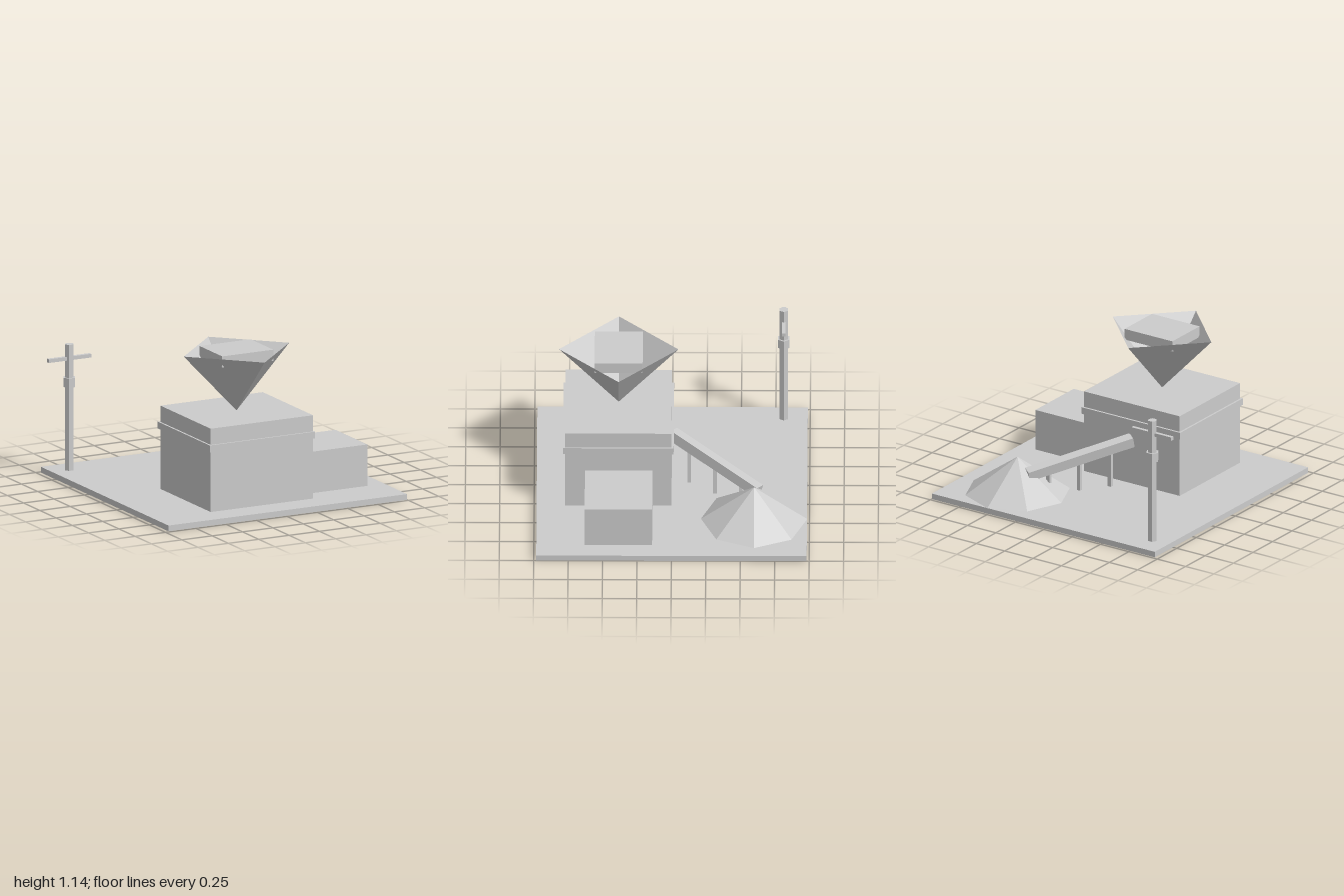
import * as THREE from 'three';

export function createModel() {
  const model = new THREE.Group();
  model.name = 'processingPlant';

  const grey = new THREE.MeshStandardMaterial({ color: 0xcccccc, side: THREE.DoubleSide, flatShading: true });
  grey.name = 'plain grey';

  function add(name, geometry, x, y, z, parent = model) {
    const mesh = new THREE.Mesh(geometry, grey);
    mesh.name = name;
    mesh.position.set(x, y, z);
    parent.add(mesh);
    return mesh;
  }
  // Box given by its extents on each axis
  function box(name, x0, x1, y0, y1, z0, z1, parent = model) {
    return add(name, new THREE.BoxGeometry(x1 - x0, y1 - y0, z1 - z0),
      (x0 + x1) / 2, (y0 + y1) / 2, (z0 + z1) / 2, parent);
  }

  // Ground slab: a shallow tray turned over, with its underside left open
  const ground = 0.043;
  const slab = box('groundSlab', -0.966, 0.999, 0, ground, -0.982, 0.982).geometry;
  const faces = Array.from(slab.index.array);
  faces.splice(18, 6);
  slab.setIndex(faces);
  slab.clearGroups();

  // Main building with a trim band, and the annex beside it
  box('mainBuilding', -0.508, 0.335, ground, 0.667, 0.002, 0.775);
  box('trimBand', -0.523, 0.345, 0.495, 0.546, -0.014, 0.789);
  box('annex', 0.345, 0.859, ground, 0.353, 0.14, 0.631);

  // Open hopper: inverted four-sided pyramid standing on its tip
  const hopper = new THREE.ConeGeometry(0.434, 0.455, 4, 1, true).rotateX(Math.PI);
  add('hopper', hopper, -0.088, 0.8945, 0.387);
  box('hopperLoad', -0.299, 0.122, 1.053, 1.136, 0.212, 0.562);

  // Heap of material
  add('heap', new THREE.ConeGeometry(0.386, 0.274, 8), 0.508, ground + 0.137, -0.598);

  // Sloping conveyor and its legs
  const conveyor = new THREE.Group();
  conveyor.name = 'conveyor';
  model.add(conveyor);
  const belt = add('conveyorBelt', new THREE.BoxGeometry(0.077, 0.077, 0.815), 0.152, 0.3, -0.317, conveyor);
  belt.rotation.set(-0.27, -0.645, 0);
  for (const z of [-0.125, -0.313, -0.5]) {
    const x = 0.157 - 0.76 * (z + 0.312);
    const top = 0.387 + 0.277 * z;
    box('conveyorLeg', x - 0.014, x + 0.014, ground, top, z - 0.014, z + 0.014, conveyor);
  }

  // Utility pole with collar and crossbar
  const pole = new THREE.Group();
  pole.name = 'pole';
  pole.position.set(-0.825, 0, -0.808);
  model.add(pole);
  const hexagon = (radius, height) => new THREE.CylinderGeometry(radius, radius, height, 6).rotateY(Math.PI / 6);
  add('poleShaft', hexagon(0.034, 0.943), 0, ground + 0.4715, 0, pole);
  add('poleCollar', hexagon(0.048, 0.07), 0, 0.703, 0, pole);
  add('poleCrossbar', new THREE.BoxGeometry(0.35, 0.027, 0.027), 0, 0.88, 0, pole);

  return model;
}
